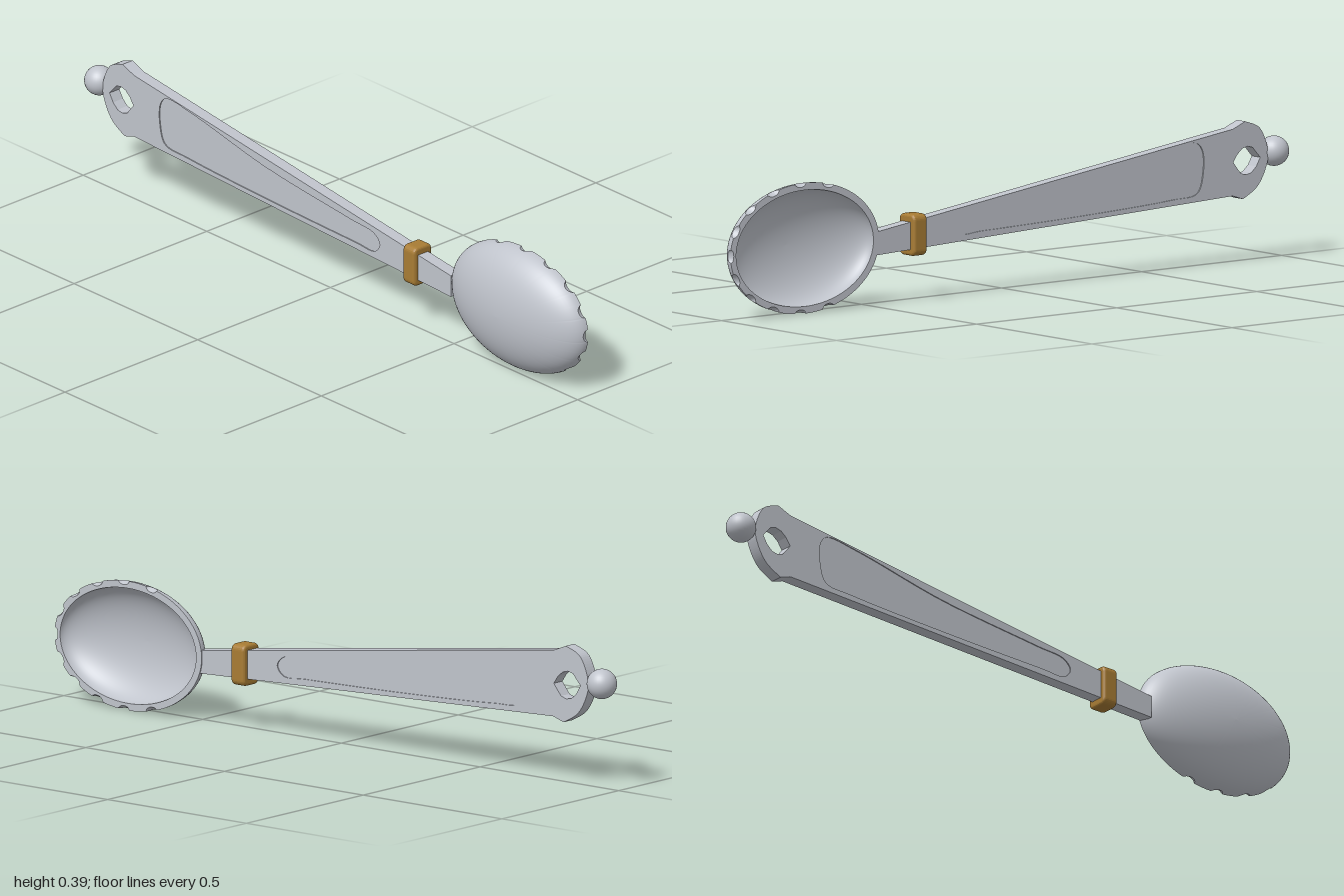
import * as THREE from 'three';

const silver = new THREE.MeshStandardMaterial({ name: 'silver', color: 0xc0c4cc });
const brass = new THREE.MeshStandardMaterial({ name: 'brass', color: 0xa87c34 });

const points = (list) => list.map(([z, y]) => new THREE.Vector2(-z, y));

// Extrudes a side outline (drawn with -z to the right) along x, starting at x0.
function sideExtrude(shape, x0, depth, options = {}) {
  const geometry = new THREE.ExtrudeGeometry(shape, { depth, bevelEnabled: false, curveSegments: 8, ...options });
  return geometry.rotateY(Math.PI / 2).translate(x0, 0, 0);
}

function addMesh(group, name, geometry, material) {
  const mesh = new THREE.Mesh(geometry, material);
  mesh.name = name;
  group.add(mesh);
  return mesh;
}

// Smooth surface through closed rings; ring(row, column) gives [x, y, z].
function ringSurface(rows, columns, ring) {
  const positions = [], index = [];
  for (let r = 0; r <= rows; r++) {
    for (let c = 0; c < columns; c++) positions.push(...ring(r, c));
  }
  for (let r = 0; r < rows; r++) {
    for (let c = 0; c < columns; c++) {
      const d = (c + 1) % columns;
      const a = r * columns + c, b = r * columns + d;
      index.push(a, b, b + columns, a, b + columns, a + columns);
    }
  }
  const geometry = new THREE.BufferGeometry();
  geometry.setAttribute('position', new THREE.Float32BufferAttribute(positions, 3));
  geometry.setIndex(index);
  geometry.computeVertexNormals();
  return geometry;
}

function createBowl() {
  const bowl = new THREE.Group();
  bowl.name = 'bowl';
  const rimX = 0.04, centreY = 0.184, centreZ = 0.735;
  const outer = { z: 0.265, y: 0.182, depth: 0.103 };
  const inner = { z: 0.245, y: 0.162, depth: 0.083 };
  const columns = 360, rows = 20;
  const angle = (c) => (c / columns) * Math.PI * 2;
  const flat = (e, a, s = 1) => [centreY + e.y * s * Math.sin(a), centreZ + e.z * s * Math.cos(a)];

  // Eleven round notches around the front part of the rim.
  const notches = [];
  for (let i = -5; i <= 5; i++) notches.push(flat(outer, THREE.MathUtils.degToRad(i * 21.7)));
  const notch = (a) => {
    const [y, z] = flat(outer, a);
    const d = Math.min(...notches.map(([ny, nz]) => Math.hypot(y - ny, z - nz))) / 0.019;
    return d < 1 ? Math.sqrt(1 - d * d) : 0;
  };
  const cuts = Array.from({ length: columns }, (_, c) => notch(angle(c)));
  const shellPoint = (e, a, t) => [rimX - e.depth * Math.sin(t), ...flat(e, a, Math.cos(t))];
  const startAngle = (c) => Math.asin((0.016 * cuts[c]) / outer.depth);

  const inside = ringSurface(rows, columns, (r, c) =>
    shellPoint(inner, angle(c), (1 - r / rows) * Math.PI / 2));
  addMesh(bowl, 'bowlInside', inside, silver);

  const rim = ringSurface(2, columns, (r, c) => {
    const a = angle(c);
    if (r === 0) return shellPoint(inner, a, 0);
    if (r === 2) return shellPoint(outer, a, startAngle(c));
    const from = flat(inner, a), to = flat(outer, a), k = 0.98 - 0.55 * cuts[c];
    return [rimX, from[0] + (to[0] - from[0]) * k, from[1] + (to[1] - from[1]) * k];
  }).toNonIndexed();
  rim.computeVertexNormals();
  addMesh(bowl, 'scallopedRim', rim, silver);

  const outside = ringSurface(rows, columns, (r, c) => {
    const start = startAngle(c);
    return shellPoint(outer, angle(c), start + (Math.PI / 2 - start) * (r / rows));
  });
  addMesh(bowl, 'bowlOutside', outside, silver);
  return bowl;
}

function createHandle() {
  const handle = new THREE.Group();
  handle.name = 'handle';

  // Tapered bar widening to a curved end.
  const outline = new THREE.Shape();
  outline.moveTo(-0.487, 0.14);
  outline.lineTo(0.795, 0.19);
  outline.lineTo(0.832, 0.178);
  outline.splineThru(points([[-0.882, 0.208], [-0.912, 0.255], [-0.921, 0.305], [-0.893, 0.37], [-0.84, 0.394]]));
  outline.lineTo(0.795, 0.376);
  outline.lineTo(-0.487, 0.204);
  outline.closePath();

  // Hanging hole.
  outline.holes.push(new THREE.Path(points([
    [-0.797, 0.283], [-0.812, 0.305], [-0.829, 0.319], [-0.848, 0.324], [-0.866, 0.319], [-0.893, 0.289],
    [-0.879, 0.265], [-0.861, 0.249], [-0.842, 0.245], [-0.823, 0.251]])));

  // Shallow sunken panel on both faces.
  const curve = new THREE.CatmullRomCurve3([
    [0.2, 0.2], [0.178, 0.173], [0.1, 0.174], [-0.26, 0.183], [-0.58, 0.198], [-0.67, 0.209], [-0.69, 0.262],
    [-0.688, 0.325], [-0.665, 0.349], [-0.556, 0.338], [-0.26, 0.278], [0.08, 0.238], [0.178, 0.226],
  ].map(([z, y]) => new THREE.Vector3(-z, y, 0)), true);
  const panel = curve.getPoints(72).slice(0, -1).map((p) => new THREE.Vector2(p.x, p.y));
  outline.holes.push(new THREE.Path(panel));

  addMesh(handle, 'handleBar', sideExtrude(outline, 0, 0.037), silver);
  addMesh(handle, 'sunkenPanel', sideExtrude(new THREE.Shape(panel), 0.003, 0.031), silver);

  const ball = addMesh(handle, 'endBall', new THREE.SphereGeometry(0.042, 32, 20), silver);
  ball.position.set(0.02, 0.3, -0.956);
  return handle;
}

// Rounded rectangular collar around the neck.
function createCollar() {
  const w = 0.026, h = 0.05, r = 0.01;
  const shape = new THREE.Shape();
  shape.moveTo(-w + r, -h);
  shape.lineTo(w - r, -h);
  shape.quadraticCurveTo(w, -h, w, -h + r);
  shape.lineTo(w, h - r);
  shape.quadraticCurveTo(w, h, w - r, h);
  shape.lineTo(-w + r, h);
  shape.quadraticCurveTo(-w, h, -w, h - r);
  shape.lineTo(-w, -h + r);
  shape.quadraticCurveTo(-w, -h, -w + r, -h);
  const geometry = new THREE.ExtrudeGeometry(shape, {
    depth: 0.032, bevelThickness: 0.008, bevelSize: 0.008, bevelSegments: 4, curveSegments: 6,
  });
  geometry.translate(0.019, 0.185, 0.315);
  return geometry;
}

export function createModel() {
  const model = new THREE.Group();
  model.name = 'spoon';
  model.add(createBowl(), createHandle());
  addMesh(model, 'collar', createCollar(), brass);
  return model;
}
